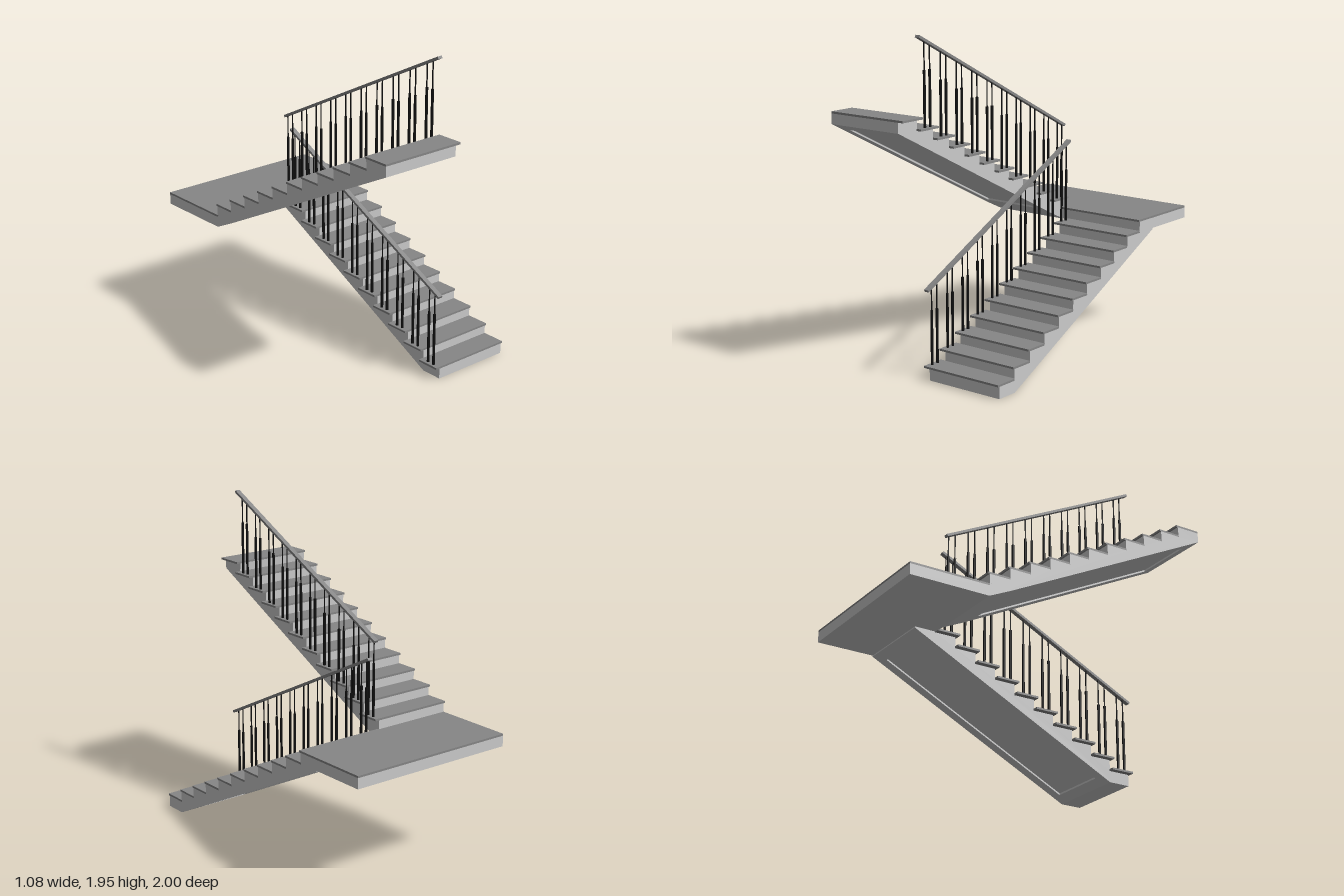
import * as THREE from 'three';

const STEPS = 10, RUN = 0.135, RISE = 0.0675, TREAD = 0.012;
const FRONT = 0.845;            // z of the first riser
const IN = 0.035, OUT = 0.54;   // sides of the flight body
const RECESS = 0.011;           // depth of the panel under the flight
const BORDER = 0.065;           // width of the border round that panel
const POST = 0.32;              // height of the thick part of a baluster

const bodyMat = new THREE.MeshStandardMaterial({ color: 0xcccccc, flatShading: true });
const borderMat = new THREE.MeshStandardMaterial({ color: 0xcccccc, flatShading: true, side: THREE.DoubleSide });
const treadMat = new THREE.MeshStandardMaterial({ color: 0x878787, flatShading: true });
const blackMat = new THREE.MeshStandardMaterial({ color: 0x111111 });

function add(parent, name, geometry, material) {
  const mesh = new THREE.Mesh(geometry, material);
  mesh.name = name;
  parent.add(mesh);
  return mesh;
}

// Box given by its limits on each axis
function span(parent, name, material, x0, x1, y0, y1, z0, z1) {
  const mesh = add(parent, name, new THREE.BoxGeometry(x1 - x0, y1 - y0, z1 - z0), material);
  mesh.position.set((x0 + x1) / 2, (y0 + y1) / 2, (z0 + z1) / 2);
}

// Stepped side profile extruded across the flight
function bodyGeometry(upper) {
  const pts = [[0, upper ? -0.063 : 0]];
  pts.push([RUN, 0], [RUN, RECESS], [1.485, 0.675 + RECESS]);
  if (upper) pts.push([1.485, 0.675], [1.5, 0.682], [1.5, 0.743], [1.345, 0.743]);
  else pts.push([1.485, 0.69], [1.345, 0.69]);
  for (let i = STEPS - 1; i >= 0; i--) {
    const y = 0.082 - TREAD + RISE * i;
    pts.push([RUN * (i + 1), y], [RUN * i, y]);
  }
  const shape = new THREE.Shape(pts.map(p => new THREE.Vector2(...p)));
  const g = new THREE.ExtrudeGeometry(shape, { depth: OUT - IN, bevelEnabled: false });
  return g.rotateY(Math.PI / 2).translate(IN, 0, FRONT);
}

// One mitred side (0 to 3) of the border that frames the sunken panel
function borderGeometry(side) {
  const ring = (inset, lift) => {
    const t = inset * 0.69, x0 = IN + inset, x1 = OUT - inset;
    return [[t, x0], [t, x1], [1 - t, x1], [1 - t, x0]]
      .map(([s, x]) => [x, 0.675 * s + lift, FRONT - RUN - 1.35 * s]);
  };
  const rings = [ring(0, RECESS), ring(0, 0), ring(BORDER, 0), ring(BORDER, RECESS)];
  const next = (side + 1) % 4;
  const pos = [];
  for (let r = 0; r < 3; r++) {
    const [a, b] = [rings[r][side], rings[r][next]];
    const [c, d] = [rings[r + 1][next], rings[r + 1][side]];
    pos.push(...a, ...b, ...c, ...a, ...c, ...d);
  }
  const g = new THREE.BufferGeometry();
  g.setAttribute('position', new THREE.Float32BufferAttribute(pos, 3));
  g.computeVertexNormals();
  return g;
}

// One flight with treads, balusters and handrail, climbing towards -z
function makeFlight(name, upper) {
  const flight = new THREE.Group();
  flight.name = name;
  add(flight, 'flightBody', bodyGeometry(upper), bodyMat);
  for (let side = 0; side < 4; side++) add(flight, 'undersideBorder', borderGeometry(side), borderMat);

  const railX = 0.022, railY = z => 0.522 + (0.85 - z) * 0.5;
  const post = new THREE.CylinderGeometry(0.008, 0.008, POST, 10);
  for (let i = 0; i < STEPS; i++) {
    const top = 0.082 + RISE * i, z = FRONT - RUN * i;
    span(flight, 'tread', treadMat, 0, OUT, top - TREAD, top, z - RUN - 0.002, z + 0.01);
    for (const off of [0.037, 0.082]) {
      const bz = z - off, h = railY(bz) - top;
      add(flight, 'balusterPost', post, blackMat).position.set(railX, top + POST / 2, bz);
      const rod = new THREE.CylinderGeometry(0.004, 0.004, h - POST, 8);
      add(flight, 'balusterRod', rod, blackMat).position.set(railX, top + (h + POST) / 2, bz);
    }
  }

  // Handrail, set a little further along on the upper flight
  const z0 = upper ? 0.825 : 0.85, z1 = z0 - 1.33;
  const y0 = railY(z0), y1 = railY(z1);
  const railGeometry = new THREE.BoxGeometry(0.03, 0.015, Math.hypot(z0 - z1, y1 - y0));
  const rail = add(flight, 'handrail', railGeometry, treadMat);
  rail.position.set(railX, (y0 + y1) / 2, (z0 + z1) / 2);
  rail.rotation.x = Math.atan2(y1 - y0, z0 - z1);
  return flight;
}

export function createModel() {
  const model = new THREE.Group();
  model.name = 'staircase';

  model.add(makeFlight('lowerFlight', false));

  // The upper flight is the same flight turned round and raised
  const upper = makeFlight('upperFlight', true);
  upper.rotation.y = Math.PI;
  upper.position.set(0, 0.746, 0.345);
  span(upper, 'topLandingSlab', treadMat, 0, OUT, 0.743, 0.755, -0.655, -0.49);
  model.add(upper);

  // Half landing between the flights
  span(model, 'landingBody', bodyMat, -OUT, OUT, 0.682, 0.746, -1, -0.5);
  span(model, 'landingSlab', treadMat, -OUT, OUT, 0.746, 0.758, -1, -0.49);
  return model;
}
